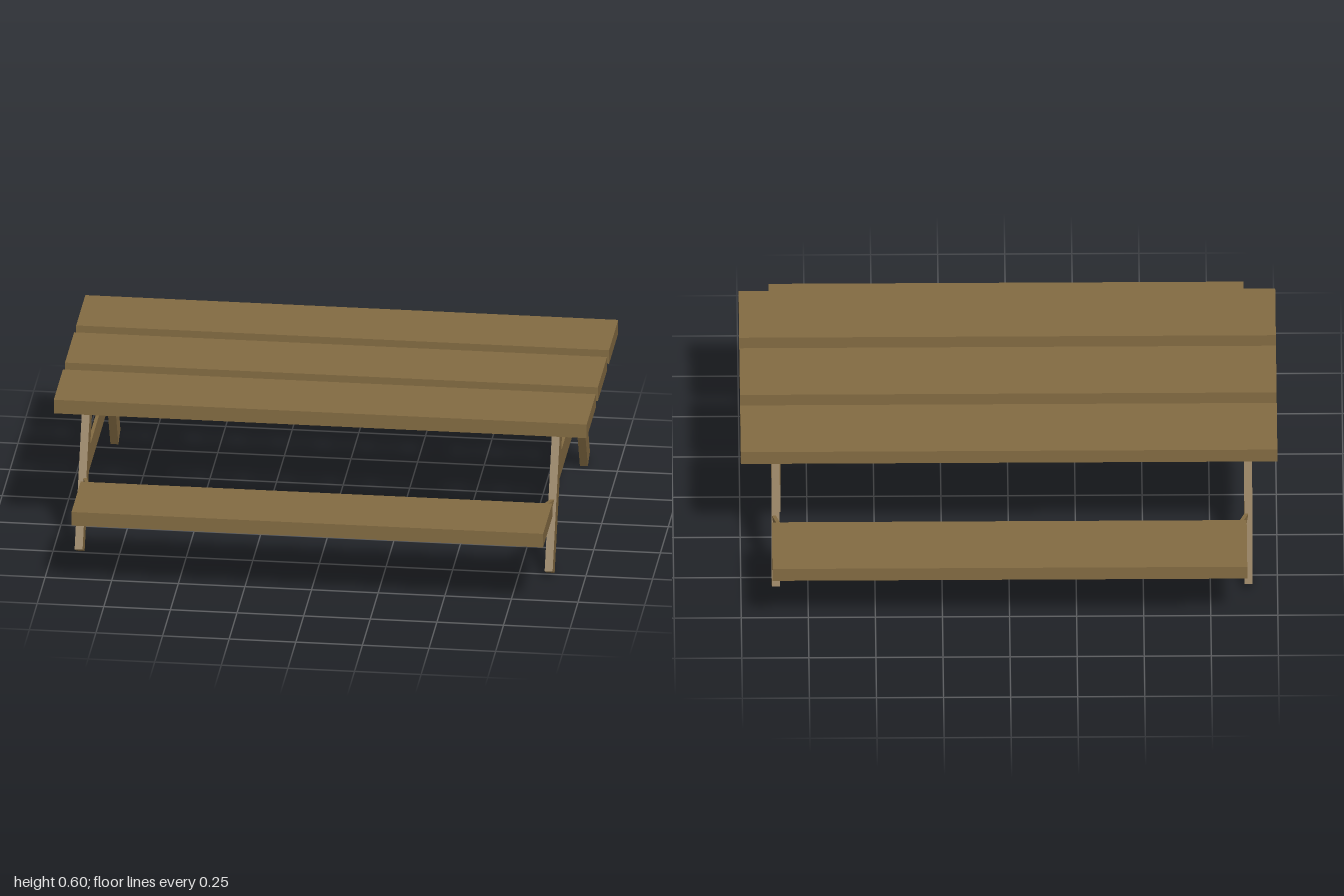
import * as THREE from 'three';

export function createModel() {
  const group = new THREE.Group();
  const wood = new THREE.MeshStandardMaterial({ color: 0x836b42, flatShading: true });
  const midZ = -0.025; // the table top and frames share this centre line

  const add = (name, geometry) => {
    const mesh = new THREE.Mesh(geometry, wood);
    mesh.name = name;
    group.add(mesh);
    return mesh;
  };

  // Box given by its extents on each axis
  const board = (name, [x0, x1], [y0, y1], [z0, z1]) =>
    add(name, new THREE.BoxGeometry(x1 - x0, y1 - y0, z1 - z0))
      .position.set((x0 + x1) / 2, (y0 + y1) / 2, (z0 + z1) / 2);

  // Side profile of [z, y] points, given a thickness along x
  const profile = (name, points, x, thickness) => {
    const shape = new THREE.Shape(points.map(([z, y]) => new THREE.Vector2(z, y)));
    const geometry = new THREE.ExtrudeGeometry(shape, { depth: thickness, bevelEnabled: false });
    geometry.rotateY(-Math.PI / 2).translate(x + thickness / 2, 0, 0);
    return add(name, geometry);
  };

  // Table top planks
  for (const z of [-0.355, 0, 0.355])
    board('tablePlank', [-1, 1], [0.55, 0.605], [midZ + z - 0.145, midZ + z + 0.145]);

  // Bench seats
  for (const s of [-1, 1])
    board('benchSeat', [-0.885, 0.885], [0.275, 0.33], [s * 0.74 - 0.145, s * 0.74 + 0.145]);

  // Battens under the table top
  for (const x of [-0.492, 0.522])
    board('batten', [x - 0.052, x + 0.052], [0.53, 0.55], [-0.42, 0.375]);

  // Splayed legs, square at the foot and cut level under the top
  const leg = [[0.51, 0.002], [0.575, 0.035], [0.317, 0.55], [0.23, 0.55]];
  const legX = { frontLeft: 0.866, backLeft: 0.87, frontRight: -0.898, backRight: -0.892 };
  for (const [name, x] of Object.entries(legX)) {
    const s = name.startsWith('front') ? 1 : -1;
    profile(name + 'Leg', leg.map(([z, y]) => [midZ + s * z, y]), x, 0.03);
  }

  // Cross rails joining each pair of legs
  for (const x of [0.857, -0.893])
    profile('crossRail', [[-0.43, 0.255], [0.38, 0.255], [0.335, 0.345], [-0.385, 0.345]], x, 0.013);

  // Seat arms running inward from the legs: start [x, z] to end [x, z]
  const arms = {
    frontLeftArm: [[0.875, 0.41], [0.735, 0.705]],
    backLeftArm: [[0.876, -0.48], [0.77, -0.785]],
    frontRightArm: [[-0.895, 0.4], [-0.817, 0.705]],
    backRightArm: [[-0.885, -0.48], [-0.762, -0.785]],
  };
  for (const [name, [[x0, z0], [x1, z1]]] of Object.entries(arms)) {
    const length = Math.hypot(x1 - x0, z1 - z0);
    const arm = add(name, new THREE.BoxGeometry(0.014, 0.043, length));
    arm.position.set((x0 + x1) / 2, 0.2535, (z0 + z1) / 2);
    arm.rotation.y = Math.atan2(x1 - x0, z1 - z0);
  }

  return group;
}
